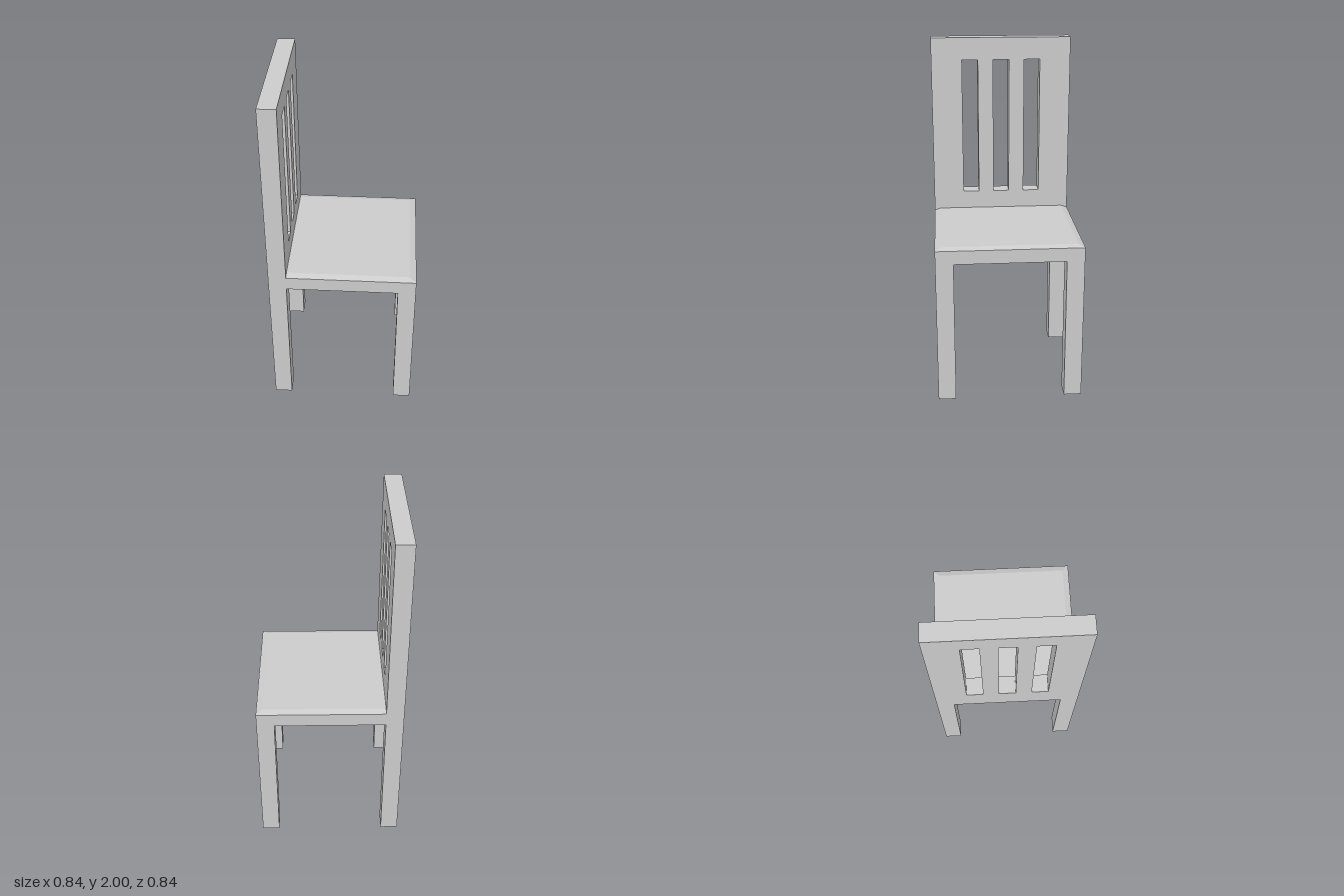
import * as THREE from 'three';

const HALF = 0.42;      // half width and half depth
const POST = 0.102;     // leg and back thickness
const SEAT_LOW = 0.845;
const SEAT_HIGH = 0.925;
const SEAT_TOP = 0.937;
const BACK_X = -HALF + POST;

const material = new THREE.MeshStandardMaterial({ color: 0xcccccc, flatShading: true });

function addMesh(group, name, geometry, x = 0, y = 0, z = 0) {
  const mesh = new THREE.Mesh(geometry, material);
  mesh.name = name;
  mesh.position.set(x, y, z);
  group.add(mesh);
}

// Rectangle given by its limits, used for the outline and the slots
function rectangle(path, x0, y0, x1, y1) {
  path.moveTo(x0, y0);
  path.lineTo(x1, y0);
  path.lineTo(x1, y1);
  path.lineTo(x0, y1);
  path.closePath();
  return path;
}

// Thin slab whose top is drawn in at the front and both sides
function seatTopGeometry() {
  const length = HALF - BACK_X;
  const height = SEAT_TOP - SEAT_HIGH;
  const inset = 0.036;
  const geometry = new THREE.BoxGeometry(length, height, HALF * 2);
  const p = geometry.attributes.position;
  for (let i = 0; i < p.count; i++) {
    if (p.getY(i) < 0) continue;
    if (p.getX(i) > 0) p.setX(i, p.getX(i) - inset);
    p.setZ(i, p.getZ(i) - Math.sign(p.getZ(i)) * inset);
  }
  geometry.computeVertexNormals();
  return geometry;
}

// Upright panel with three vertical slots
function backrestGeometry() {
  const shape = rectangle(new THREE.Shape(), -HALF, SEAT_HIGH, HALF, 2);
  for (const z of [-0.188, 0, 0.188]) {
    shape.holes.push(rectangle(new THREE.Path(), z - 0.048, 1.045, z + 0.048, 1.868));
  }
  const geometry = new THREE.ExtrudeGeometry(shape, { depth: POST, bevelEnabled: false });
  return geometry.rotateY(-Math.PI / 2);
}

export function createModel() {
  const chair = new THREE.Group();
  chair.name = 'chair';

  // Four square legs
  const legOffset = HALF - POST / 2;
  const legGeometry = new THREE.BoxGeometry(POST, SEAT_LOW, POST);
  for (const [sx, row] of [[1, 'front'], [-1, 'back']]) {
    for (const [sz, side] of [[1, 'Right'], [-1, 'Left']]) {
      addMesh(chair, `${row}${side}Leg`, legGeometry, sx * legOffset, SEAT_LOW / 2, sz * legOffset);
    }
  }

  // Seat slab and its chamfered top
  addMesh(chair, 'seat', new THREE.BoxGeometry(HALF * 2, SEAT_HIGH - SEAT_LOW, HALF * 2),
    0, (SEAT_LOW + SEAT_HIGH) / 2, 0);
  addMesh(chair, 'seatTop', seatTopGeometry(), (HALF + BACK_X) / 2, (SEAT_HIGH + SEAT_TOP) / 2, 0);

  // Slotted backrest
  addMesh(chair, 'backrest', backrestGeometry(), BACK_X, 0, 0);

  return chair;
}
